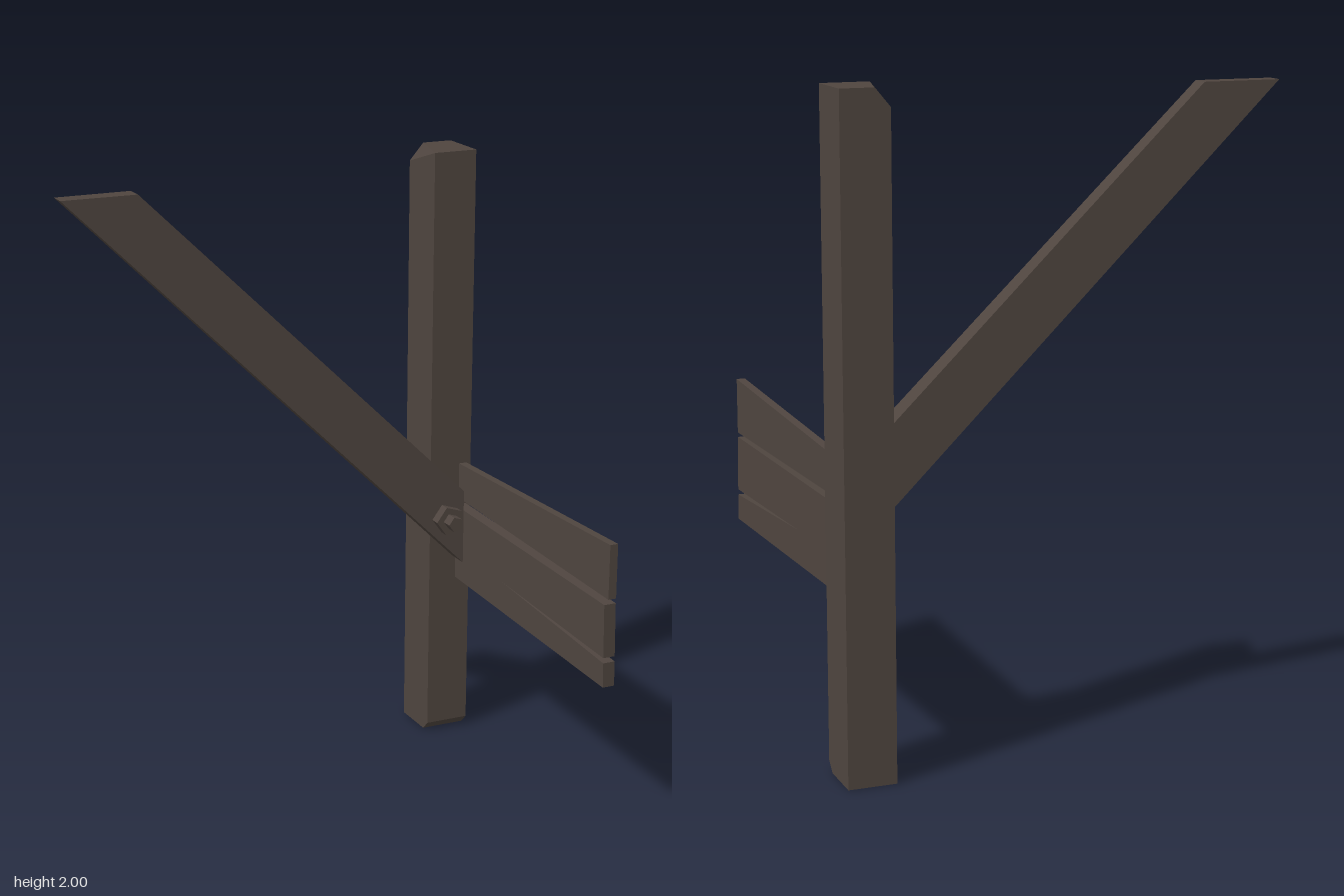
import * as THREE from 'three';
import { ConvexGeometry } from 'three/addons/geometries/ConvexGeometry.js';

const wood = new THREE.MeshStandardMaterial({ color: 0x4f453f });
wood.name = 'weatheredWood';

function part(group, name, geometry) {
  const mesh = new THREE.Mesh(geometry, wood);
  mesh.name = name;
  group.add(mesh);
  return mesh;
}

const shapeOf = (points) => new THREE.Shape(points.map(([a, b]) => new THREE.Vector2(a, b)));

// Board with a (z, y) outline, spanning x0 to x1, leaning in x by lean per unit of height
function board(points, x0, x1, lean = 0, yMid = 0) {
  const g = new THREE.ExtrudeGeometry(shapeOf(points), { depth: x1 - x0, bevelEnabled: false });
  g.rotateY(-Math.PI / 2).translate(x1, 0, 0);
  const p = g.attributes.position;
  for (let i = 0; i < p.count; i++) p.setX(i, p.getX(i) + lean * (p.getY(i) - yMid));
  g.computeVertexNormals();
  return g;
}

// Five-sided disc facing the front
function pentagon(radius, z0, z1) {
  const shape = shapeOf([0, 1, 2, 3, 4].map((i) => {
    const a = Math.PI + (i * 2 * Math.PI) / 5;
    return [radius * Math.cos(a), radius * Math.sin(a)];
  }));
  return new THREE.ExtrudeGeometry(shape, { depth: z1 - z0, bevelEnabled: false })
    .translate(0.58, 0.795, z0);
}

export function createModel() {
  const model = new THREE.Group();
  model.name = 'brokenFence';

  // Upright post: worn back corner on top, chamfered front edge at the foot
  const L = 0.562, R = 0.71, F = -0.4, B = -0.58;
  part(model, 'post', new ConvexGeometry([
    [L, 2, F], [R, 2, F], [R, 2, B], [0.61, 2, B], [L, 1.945, B],
    [L, 0, B], [R, 0, B], [L, 0, -0.43], [R, 0, -0.43], [L, 0.03, F], [R, 0.03, F],
  ].map((p) => new THREE.Vector3(...p))));

  // Slanted beam, slightly thinner towards its upper end
  const beam = new THREE.ExtrudeGeometry(
    shapeOf([[-0.715, 1.965], [0.645, 0.63], [0.645, 0.88], [-0.47, 1.965]]),
    { depth: 0.08, bevelEnabled: false }
  ).translate(0, 0, F);
  const p = beam.attributes.position;
  for (let i = 0; i < p.count; i++) {
    if (p.getZ(i) > -0.36) p.setZ(i, -0.33 + 0.0175 * p.getX(i));
  }
  beam.computeVertexNormals();
  part(model, 'slantedBeam', beam);

  // Bolt holding the beam
  part(model, 'boltWasher', pentagon(0.05, -0.325, -0.285));
  part(model, 'boltHead', pentagon(0.026, -0.285, -0.245));

  // Upper slat, widening away from the post
  part(model, 'upperSlat', board(
    [[F, 0.83], [0.58, 0.8], [0.58, 0.975], [F, 0.95]], 0.668, 0.695));

  // Lower slat, split along the grain at its free end
  part(model, 'splitSlat', board(
    [[F, 0.55], [0.58, 0.515], [0.58, 0.595], [-0.08, 0.643], [0.58, 0.612], [0.58, 0.785], [F, 0.808]],
    0.657, 0.697, -0.02, 0.66));

  return model;
}
